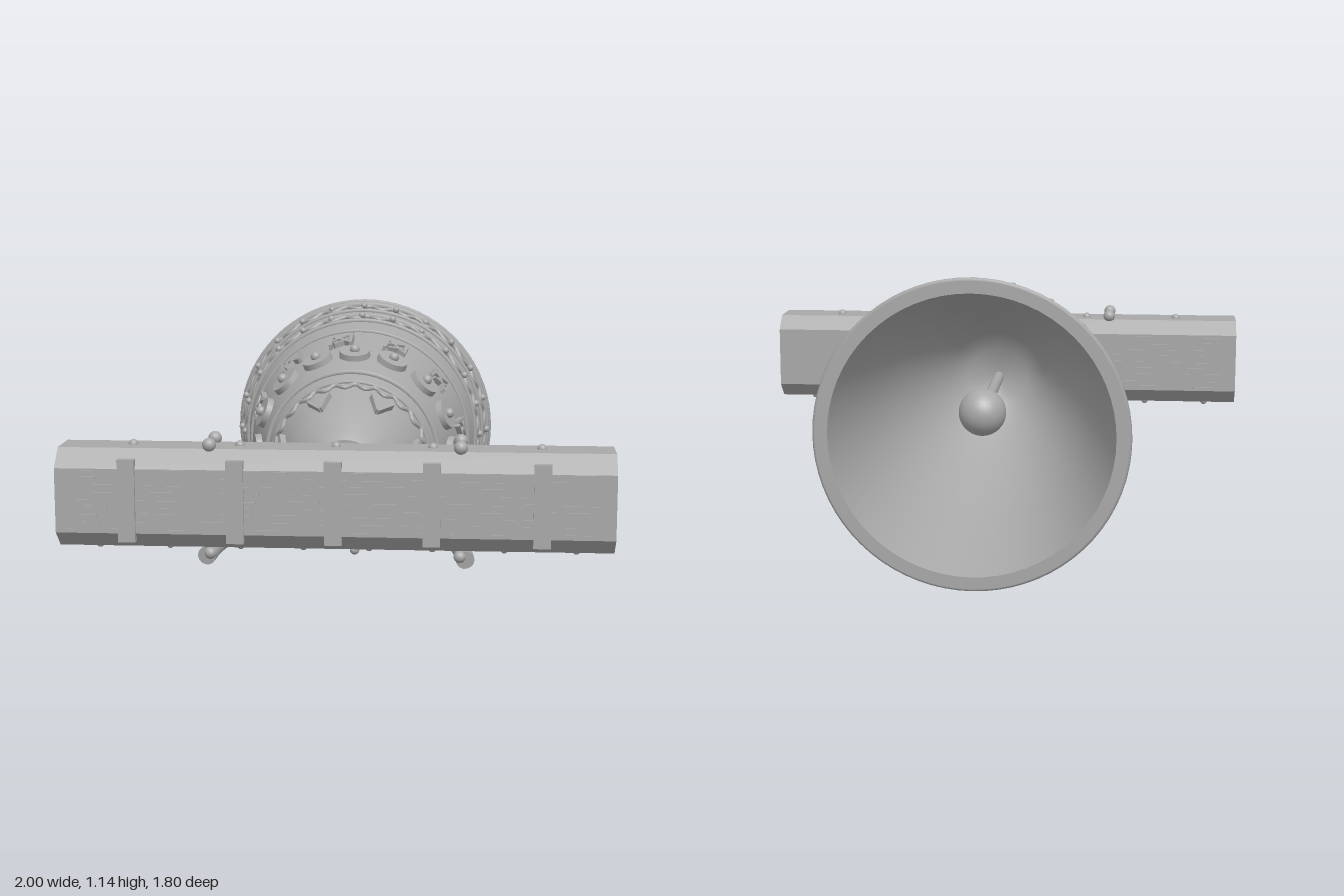
import * as THREE from 'three';

const AXIS_Y = 0.575;
// Outer bell profile: radius, z (mouth to crown)
const PROFILE = [[0.56, -0.9], [0.548, -0.86], [0.528, -0.8], [0.497, -0.65], [0.465, -0.52], [0.434, -0.375],
  [0.4, -0.23], [0.347, -0.07], [0.317, 0], [0.272, 0.12], [0.237, 0.2], [0.17, 0.3], [0.14, 0.335]];

function radiusAt(z) {
  for (let i = 1; i < PROFILE.length; i++) {
    const [r0, z0] = PROFILE[i - 1], [r1, z1] = PROFILE[i];
    if (z <= z1) return r0 + (r1 - r0) * (z - z0) / (z1 - z0);
  }
  return 0.14;
}

function seeded(seed) {
  return () => (seed = (seed * 16807) % 2147483647) / 2147483647;
}

// Closed wavy line following the bell surface
class WaveCurve extends THREE.Curve {
  constructor(z, amp, waves) {
    super();
    Object.assign(this, { z, amp, waves });
  }
  getPoint(t, out = new THREE.Vector3()) {
    const a = t * Math.PI * 2, z = this.z + this.amp * Math.sin(a * this.waves), r = radiusAt(z) + 0.004;
    return out.set(r * Math.cos(a), r * Math.sin(a), z);
  }
}

export function createModel() {
  const model = new THREE.Group();
  model.name = 'hangingBell';
  const grey = new THREE.MeshStandardMaterial({ color: 0xa8a8a8, side: THREE.DoubleSide });
  grey.name = 'castGrey';

  const add = (parent, name, geo, x = 0, y = 0, z = 0) => {
    const m = new THREE.Mesh(geo, grey);
    m.name = name;
    m.position.set(x, y, z);
    parent.add(m);
    return m;
  };
  const group = (parent, name) => {
    const g = new THREE.Group();
    g.name = name;
    parent.add(g);
    return g;
  };

  // Bell shell: outside, rim, hollow inside, with its axis along z
  const bell = group(model, 'bell');
  bell.position.y = AXIS_Y;
  const lathe = (name, pts) => add(bell, name,
    new THREE.LatheGeometry(pts.map(p => new THREE.Vector2(...p)), 64).rotateX(Math.PI / 2));
  lathe('bellOutside', PROFILE);
  lathe('bellRim', [[0.515, -0.9], [0.56, -0.9]]);
  lathe('bellInside', [[0.001, 0.26], [0.12, 0.25], [0.2, 0.16], [0.28, 0], [0.365, -0.23], [0.435, -0.52], [0.515, -0.9]]);

  // Stepped crown
  for (const [r, z0, z1] of [[0.14, 0.3, 0.337], [0.11, 0.33, 0.387], [0.09, 0.38, 0.43]])
    add(bell, 'crownStep', new THREE.CylinderGeometry(r, r, z1 - z0, 40).rotateX(Math.PI / 2), 0, 0, (z0 + z1) / 2);

  // Clapper
  add(bell, 'clapperBall', new THREE.SphereGeometry(0.09, 32, 20), 0, 0, -0.46);
  add(bell, 'clapperRod', new THREE.CylinderGeometry(0.022, 0.022, 0.7, 16).rotateX(Math.PI / 2), 0, 0, -0.09);

  // Raised rings and wavy bands
  for (const [z, t] of [[-0.888, 0.012], [-0.855, 0.014], [-0.79, 0.01], [-0.725, 0.009], [-0.648, 0.011],
    [-0.52, 0.009], [-0.07, 0.012], [0.0, 0.009]])
    add(bell, 'ring', new THREE.TorusGeometry(radiusAt(z) + 0.002, t, 8, 72), 0, 0, z);
  for (const [z, amp, n] of [[-0.822, 0.012, 32], [-0.69, 0.012, 32], [0.035, 0.013, 24]])
    add(bell, 'wavyBand', new THREE.TubeGeometry(new WaveCurve(z, amp, n), n * 8, 0.01, 6, true));

  // Frame lying on the bell surface: x around, y along the axis, z outward
  const onBell = (name, deg, z) => {
    const a = deg * Math.PI / 180, g = group(bell, name);
    const slope = (radiusAt(z - 0.05) - radiusAt(z + 0.05)) / 0.1, k = 1 / Math.hypot(1, slope);
    const n = new THREE.Vector3(Math.cos(a) * k, Math.sin(a) * k, slope * k);
    const t = new THREE.Vector3(-Math.sin(a), Math.cos(a), 0);
    g.quaternion.setFromRotationMatrix(new THREE.Matrix4().makeBasis(t, n.clone().cross(t), n));
    g.position.set(radiusAt(z) * Math.cos(a), radiusAt(z) * Math.sin(a), z);
    return g;
  };
  const stroke = (parent, x0, y0, x1, y1) => {
    const len = Math.hypot(x1 - x0, y1 - y0);
    const m = add(parent, 'stroke', new THREE.BoxGeometry(len, 0.013, 0.03), (x0 + x1) / 2, (y0 + y1) / 2, 0.006);
    m.rotation.z = Math.atan2(y1 - y0, x1 - x0);
  };

  // Round medallions with bosses
  for (let i = 0; i < 16; i++) {
    const g = onBell('medallion', i * 22.5, -0.23);
    add(g, 'disc', new THREE.CylinderGeometry(0.062, 0.065, 0.03, 28).rotateX(Math.PI / 2), 0, 0, 0.005);
    add(g, 'boss', new THREE.SphereGeometry(0.021, 14, 10), 0, 0, 0.025);
  }
  // Abstract carved marks
  for (let i = 0; i < 12; i++) {
    const g = onBell('carvedMark', 8.5 + i * 30, -0.375);
    stroke(g, -0.045, -0.055, -0.04, 0.05);
    stroke(g, 0.042, -0.05, 0.045, 0.06);
    stroke(g, -0.04, 0.045, 0.04, -0.045);
    stroke(g, -0.035, 0.0, 0.03, 0.045);
    stroke(g, -0.03, -0.045, 0.04, 0.005);
  }
  // Chevrons near the crown
  for (let i = 0; i < 7; i++) {
    const g = onBell('chevron', 11.5 + i * 51.43, 0.14);
    stroke(g, -0.045, -0.045, 0, 0.045);
    stroke(g, 0.045, -0.045, 0, 0.045);
  }
  // Bead rows in the lip bands
  for (const [z, n] of [[-0.69, 24], [-0.822, 24]])
    for (let i = 0; i < n; i++)
      add(onBell('bead', i * 360 / n, z), 'beadBall', new THREE.SphereGeometry(0.015, 10, 8), 0, 0, 0.014);

  // Beam: chamfered section along x with hollowed ends
  const section = [[0.67, 0.4], [0.82, 0.4], [0.888, 0.46], [0.888, 0.695], [0.82, 0.76], [0.665, 0.76], [0.605, 0.705], [0.605, 0.46]];
  const verts = [];
  section.forEach(([za, ya], i) => {
    const [zb, yb] = section[(i + 1) % section.length];
    verts.push(-1, ya, za, 1, ya, za, 1, yb, zb, -1, ya, za, 1, yb, zb, -1, yb, zb);
    verts.push(1, ya, za, 0.92, 0.58, 0.75, 1, yb, zb, -1, yb, zb, -0.92, 0.58, 0.75, -1, ya, za);
  });
  // Reverse each triangle so the sides face out
  const flipped = [];
  for (let i = 0; i < verts.length; i += 9)
    for (const k of [0, 6, 3]) flipped.push(...verts.slice(i + k, i + k + 3));
  const beamGeo = new THREE.BufferGeometry();
  beamGeo.setAttribute('position', new THREE.Float32BufferAttribute(flipped, 3));
  beamGeo.computeVertexNormals();
  const beam = group(model, 'beam');
  add(beam, 'beamBody', beamGeo);

  // Straps across the front face, with a stud above and below each
  const straps = [-0.74, -0.35, 0, 0.35, 0.74];
  for (const x of straps) {
    add(beam, 'strap', new THREE.BoxGeometry(0.062, 0.3, 0.03), x, 0.58, 0.885);
    add(beam, 'topStud', new THREE.SphereGeometry(0.018, 14, 10), x, 0.76, 0.735);
  }
  for (const s of [-1, 1]) {
    for (const z of [0.67, 0.82]) add(beam, 'largeStud', new THREE.SphereGeometry(0.025, 16, 12), s * 0.45, 0.775, z);
    for (const x of [0.87, 0.61, 0.35, 0.12])
      add(beam, 'bottomStud', new THREE.SphereGeometry(0.015, 12, 8), s * x, 0.39, 0.74);
    add(beam, 'largeBottomStud', new THREE.SphereGeometry(0.022, 14, 10), s * 0.45, 0.378, 0.82);
  }

  // Short wood grain ridges on the front and back faces
  const rnd = seeded(77);
  for (const z of [0.89, 0.603])
    for (let row = 0; row < 9; row++)
      for (let x = -0.96 + rnd() * 0.1; x < 0.85;) {
        const len = 0.05 + rnd() * 0.11;
        if (x + len < 0.97)
          add(beam, 'grain', new THREE.BoxGeometry(len, 0.006, 0.008), x + len / 2, 0.47 + row * 0.027 + rnd() * 0.008, z);
        x += len + 0.05 + rnd() * 0.16;
      }

  // Side hoops and bent braces joining the crown to the beam
  const tube = (name, pts, r) => {
    const curve = new THREE.CatmullRomCurve3(pts.map(p => new THREE.Vector3(...p)));
    add(model, name, new THREE.TubeGeometry(curve, 32, r, 14));
    for (const t of [0, 1]) {
      const cap = add(model, name + 'End', new THREE.CircleGeometry(r, 14));
      cap.position.copy(curve.getPoint(t));
      cap.lookAt(cap.position.clone().addScaledVector(curve.getTangent(t), t ? 1 : -1));
    }
  };
  for (const s of [-1, 1]) {
    tube('hoop', [[0.11, 0.585, 0.315], [0.17, 0.585, 0.31], [0.225, 0.585, 0.36], [0.245, 0.585, 0.44],
      [0.22, 0.585, 0.52], [0.17, 0.585, 0.56], [0.1, 0.585, 0.565]].map(([x, y, z]) => [s * x, y, z]), 0.036);
    tube('brace', [[0.13, 0.555, 0.34], [0.2, 0.525, 0.4], [0.32, 0.455, 0.49], [0.42, 0.39, 0.59],
      [0.455, 0.37, 0.67], [0.47, 0.357, 0.78]].map(([x, y, z]) => [s * x, y, z]), 0.034);
  }
  return model;
}
